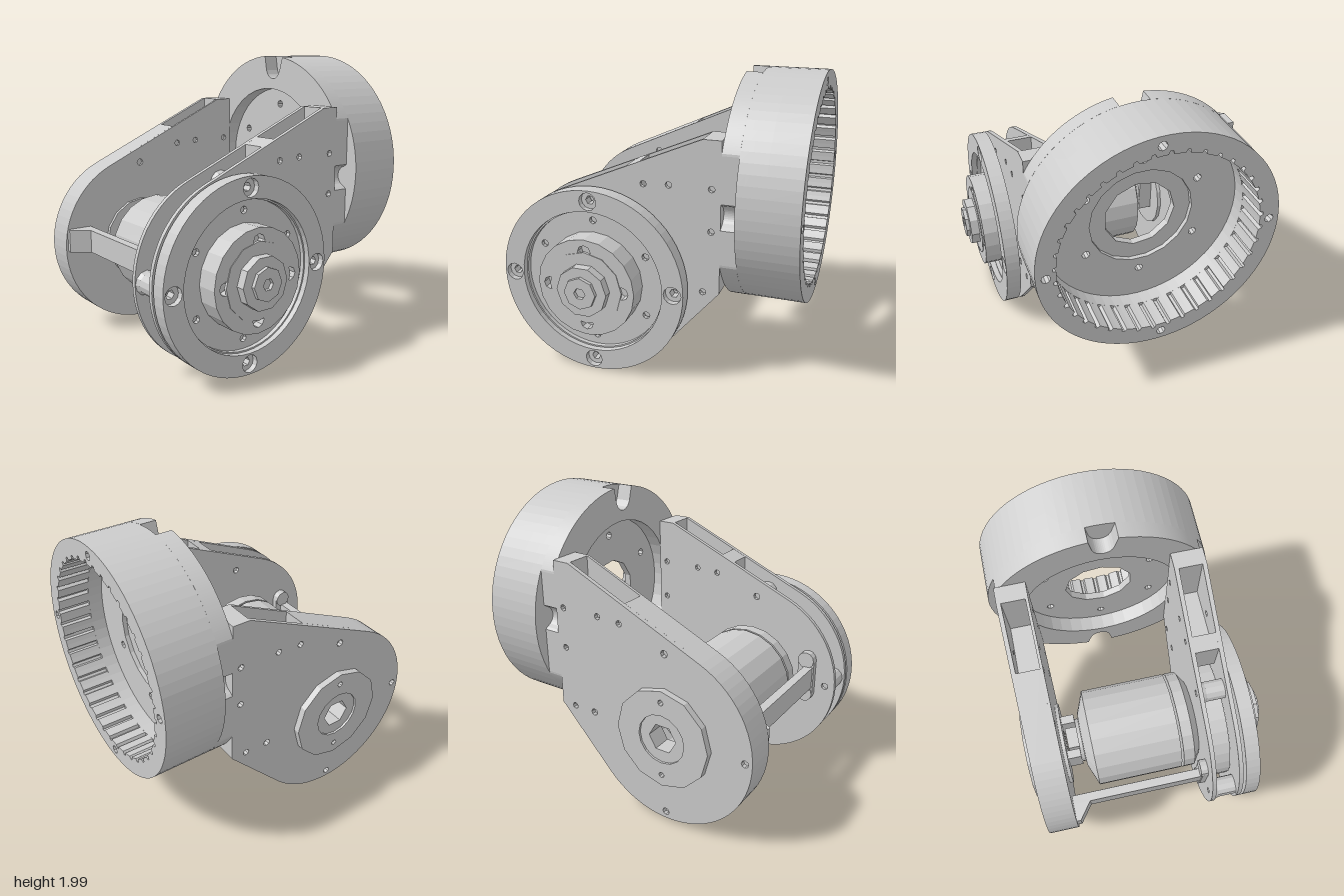
import * as THREE from 'three';

const grey = new THREE.MeshStandardMaterial({ color: 0xcccccc, flatShading: true });
const V = (x, y) => new THREE.Vector2(x, y);
const AX = -0.356, AY = 0.65; // joint axis
const R = 0.643, BACK_R = 0.62; // end radius of the front and back arm

// Regular polygon outline
const circle = (cx, cy, r, n = 48) =>
  Array.from({ length: n }, (_, i) => {
    const a = (i / n) * Math.PI * 2;
    return V(cx + r * Math.cos(a), cy + r * Math.sin(a));
  });

// Holes spaced evenly on a pitch circle
const boltCircle = (cx, cy, pitch, r, count, phase = 0, n = 8) =>
  Array.from({ length: count }, (_, i) => {
    const a = phase + (i / count) * Math.PI * 2;
    return circle(cx + pitch * Math.cos(a), cy + pitch * Math.sin(a), r, n);
  });

// Outline with holes, extruded from z0 to z1
function plate(parent, name, outline, holes, z0, z1) {
  const s = new THREE.Shape(outline);
  holes.forEach(h => s.holes.push(new THREE.Path(h)));
  const m = new THREE.Mesh(new THREE.ExtrudeGeometry(s, { depth: z1 - z0, bevelEnabled: false }), grey);
  m.name = name;
  m.position.z = z0;
  parent.add(m);
  return m;
}

// Turned part along z; profile is [radius, z]
function turned(parent, name, profile, x, y, n = 24) {
  const m = new THREE.Mesh(new THREE.LatheGeometry(profile.map(p => V(p[0], p[1])), n), grey);
  m.rotation.x = Math.PI / 2;
  m.position.set(x, y, 0);
  m.name = name;
  parent.add(m);
}
const rod = (parent, name, x, y, r, z0, z1, n = 16) =>
  turned(parent, name, [[0, z0], [r, z0], [r, z1], [0, z1]], x, y, n);

function box(parent, name, x0, x1, y0, y1, z0, z1) {
  const m = new THREE.Mesh(new THREE.BoxGeometry(x1 - x0, y1 - y0, z1 - z0), grey);
  m.position.set((x0 + x1) / 2, (y0 + y1) / 2, (z0 + z1) / 2);
  m.name = name;
  parent.add(m);
}

// Arm side: round end joined by tangents to the square end at the ring
function armOutline(r) {
  const dx = 0.37 - AX, dy = 1.66 - AY;
  const start = Math.atan2(dy, dx) + Math.acos(r / Math.hypot(dx, dy));
  const end = 2 * Math.PI - Math.acos(r / (0.49 - AX));
  const arc = Array.from({ length: 41 }, (_, i) => {
    const a = start + (end - start) * i / 40;
    return V(AX + r * Math.cos(a), AY + r * Math.sin(a));
  });
  return [...arc, V(0.49, 0.65), V(0.49, 1.66), V(0.37, 1.66)];
}
const armHoles = [[-0.02, 1.34], [0.15, 1.35], [0.43, 1.35], [0.43, 1.07], [0.38, 0.65]]
  .map(([x, y]) => circle(x, y, 0.022, 8));
const endHoles = boltCircle(AX, AY, 0.57, 0.025, 4);

function ringHousing() {
  const g = new THREE.Group();
  g.name = 'ringHousing';
  const tilt = THREE.MathUtils.degToRad(3), rim = circle(0, 0, 0.79, 72);
  const screws = boltCircle(0, 0, 0.725, 0.03, 4, tilt);
  const floorHoles = boltCircle(0, 0, 0.43, 0.027, 6, Math.PI / 6);

  // Back section: flat on both sides, with four round-bottomed notches
  const back = [], q = Math.PI / 2;
  for (let i = 0; i < 360; i++) {
    const a = (i / 360) * Math.PI * 2;
    const off = 0.7 * Math.abs(a - tilt - q * Math.round((a - tilt) / q));
    const notch = off < 0.075 ? 0.7 - Math.sqrt(0.075 ** 2 - off ** 2) : 1;
    const r = Math.min(0.79, 0.7 / Math.abs(Math.cos(a)), notch);
    back.push(V(r * Math.cos(a), r * Math.sin(a)));
  }
  plate(g, 'ringBack', back, [circle(0, 0, 0.55, 40)], 0.49, 0.6);
  plate(g, 'ringFloor', rim, [circle(0, 0, 0.24, 11), ...floorHoles], 0.6, 0.65);
  plate(g, 'ringFloorStep', rim, [circle(0, 0, 0.35, 18), ...floorHoles], 0.65, 0.68);
  plate(g, 'plainWall', rim, [circle(0, 0, 0.66, 60), ...screws], 0.68, 0.78);

  // Inner wall with narrow belt grooves
  const teeth = [], count = 40;
  for (let i = 0; i < count; i++)
    [[0, 0.66], [0.33, 0.66], [0.66, 0.66], [0.74, 0.683], [0.92, 0.683]].forEach(([f, r]) => {
      const a = ((i + f) / count) * Math.PI * 2;
      teeth.push(V(r * Math.cos(a), r * Math.sin(a)));
    });
  plate(g, 'toothedWall', rim, [teeth, ...screws], 0.78, 1.0);
  g.rotation.y = Math.PI / 2;
  g.position.set(0, 1.21, -0.1);
  return g;
}

function backArm() {
  const g = new THREE.Group();
  g.name = 'backArm';
  const outline = armOutline(BACK_R), bore = circle(AX, AY, 0.16, 12);
  const holes = [...armHoles, ...endHoles, bore];
  plate(g, 'outerSkin', outline, holes, -0.8, -0.77);
  plate(g, 'innerSkin', outline, holes, -0.61, -0.59);
  // Core with a pocket open to the upper slope
  plate(g, 'armCore', [...outline, V(0.37, 1.25), V(-0.05, 1.25), V(-0.05, 1.47)], [bore], -0.77, -0.61);
  // Bearing caps
  plate(g, 'bearingCap', circle(AX, AY, 0.34, 12),
    [circle(AX, AY, 0.17, 16), ...boltCircle(AX, AY, 0.26, 0.02, 2, Math.PI / 2)], -0.845, -0.8);
  plate(g, 'hexSocket', circle(AX, AY, 0.17, 16), [circle(AX, AY, 0.1, 6)], -0.83, -0.7);
  plate(g, 'innerCap', circle(AX, AY, 0.3, 16), [circle(AX, AY, 0.1, 6)], -0.59, -0.565);
  return g;
}

function frontArm() {
  const g = new THREE.Group();
  g.name = 'frontArm';
  const outline = armOutline(R), holes = [...armHoles, ...endHoles];
  plate(g, 'innerSkin', outline, holes, 0.38, 0.41);
  plate(g, 'outerSkin', outline, holes, 0.57, 0.6);
  // Core near the ring, cleared round the pulley
  plate(g, 'armCore', [[-0.15, 1.437], [-0.15, 1.15], [0.1, 0.9], [0.16, 0.65], [0.3, 0.7], [0.43, 0.58],
    [0.49, 0.65], [0.49, 1.66], [0.37, 1.66], [0.37, 1.25], [-0.05, 1.25], [-0.05, 1.48]]
    .map(p => V(...p)), [], 0.41, 0.57);
  rod(g, 'drivePulley', AX, AY, 0.46, 0.42, 0.56, 32);
  // Standoffs between the skins
  for (let i = 0; i < 4; i++) {
    const a = i * Math.PI / 2;
    turned(g, 'standoff', [[0.08, 0.41], [0.07, 0.44], [0.07, 0.57]],
      AX + 0.56 * Math.cos(a), AY + 0.56 * Math.sin(a), 12);
  }
  return g;
}

function outputDisc() {
  const g = new THREE.Group();
  g.name = 'outputDisc';
  const rim = circle(AX, AY, R, 64), well = circle(AX, AY, 0.49, 48);
  plate(g, 'discRimBack', rim, [well, ...boltCircle(AX, AY, 0.57, 0.03, 4, 0, 6)], 0.62, 0.68);
  plate(g, 'discRimFront', rim, [circle(AX, AY, 0.5, 48), ...boltCircle(AX, AY, 0.57, 0.06, 4, 0, 12)], 0.68, 0.72);
  plate(g, 'discFloor', well, boltCircle(AX, AY, 0.42, 0.025, 6, Math.PI / 6), 0.62, 0.65);
  // Hub, washer, nut and shaft end
  rod(g, 'hubBase', AX, AY, 0.34, 0.56, 0.74, 20);
  plate(g, 'hub', circle(AX, AY, 0.34, 20), boltCircle(AX, AY, 0.255, 0.045, 4), 0.74, 0.8);
  plate(g, 'washer', circle(AX, AY, 0.255, 12), [], 0.785, 0.805);
  plate(g, 'nut', circle(AX, AY, 0.175, 10), [], 0.805, 0.865);
  plate(g, 'shaftEnd', circle(AX, AY, 0.11, 8), [circle(AX, AY, 0.04, 6)], 0.865, 0.89);
  return g;
}

function motor() {
  const g = new THREE.Group();
  g.name = 'motor';
  turned(g, 'motorCan', [[0, -0.47], [0.16, -0.47], [0.16, -0.445], [0.2, -0.44], [0.355, -0.38],
    [0.355, 0.235], [0, 0.235]], AX, AY, 20);
  rod(g, 'motorShaft', AX, AY, 0.06, 0.23, 0.26);
  turned(g, 'motorBase', [[0, 0.25], [0.355, 0.25], [0.355, 0.33], [0.28, 0.38], [0, 0.38]], AX, AY, 20);
  // Plug socket at the rear
  box(g, 'socketBody', -0.43, -0.28, 0.58, 0.76, -0.55, -0.46);
  for (const s of [-1, 1]) box(g, 'socketSide', AX + s * 0.13 - 0.03, AX + s * 0.13 + 0.03, 0.55, 0.8, -0.58, -0.47);
  return g;
}

function strut() {
  const g = new THREE.Group();
  g.name = 'strut';
  box(g, 'strutWeb', -0.84, -0.78, 0.63, 0.79, -0.59, 0.34);
  box(g, 'strutRib', -0.82, -0.77, 0.68, 0.74, -0.59, 0.34);
  // Foot with a round boss at each end
  box(g, 'strutFoot', -0.85, -0.73, 0.58, 0.84, 0.34, 0.38);
  for (const y of [0.58, 0.84]) rod(g, 'footBoss', -0.79, y, 0.06, 0.33, 0.38, 12);
  // Gusset at the back arm
  const m = plate(g, 'strutGusset', [V(-0.96, 0.59), V(-0.96, 0.56), V(-0.84, 0.47), V(-0.78, 0.4), V(-0.78, 0.59)], [], 0, 0.16);
  m.rotation.x = -Math.PI / 2;
  m.position.set(0, 0.63, 0);
  return g;
}

export function createModel() {
  const model = new THREE.Group();
  model.name = 'motorisedJoint';
  model.add(ringHousing(), backArm(), frontArm(), outputDisc(), motor(), strut());
  return model;
}
